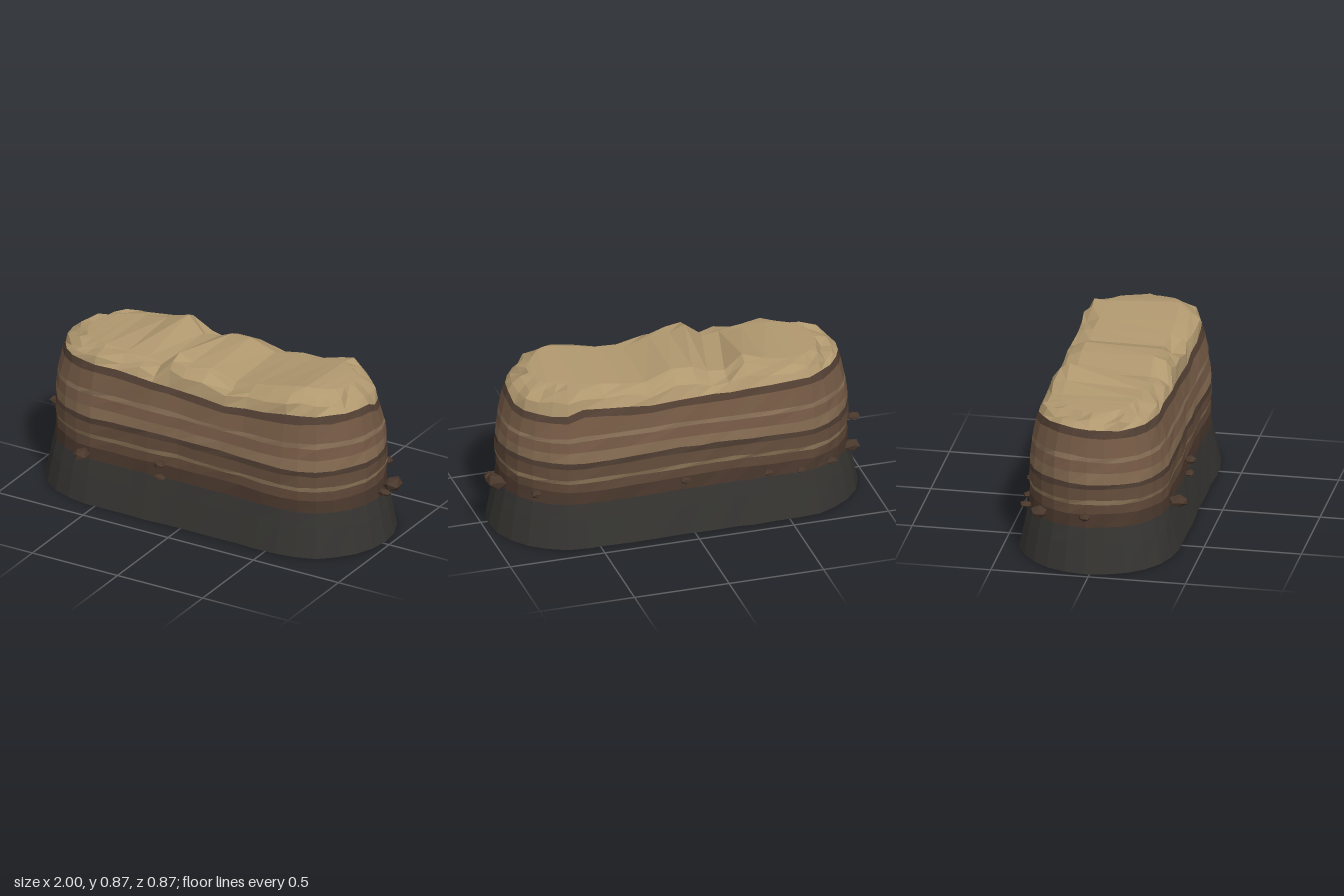
import * as THREE from 'three';

const CENTRE_Z = -0.025;
const hash = (a, b) => {
  const s = Math.sin(a * 127.1 + b * 311.7) * 43758.5453;
  return (s - Math.floor(s)) * 2 - 1;
};
const lerpTable = (table, x) => {
  if (x <= table[0][0]) return table[0][1];
  for (let i = 1; i < table.length; i++) {
    const [x0, y0] = table[i - 1], [x1, y1] = table[i];
    if (x <= x1) return y0 + (y1 - y0) * (x - x0) / (x1 - x0);
  }
  return table[table.length - 1][1];
};

// Stadium outline: the front half from the -x tip to the +x tip, then mirrored to the back
const ARC = 6;
const front = [];
for (let i = 0; i <= ARC; i++) front.push([-0.56, Math.PI * (1 - i / ARC / 2)]);
for (const x of [-0.43, -0.31, -0.22, -0.13, -0.05, 0.06, 0.2, 0.32, 0.44]) front.push([x, Math.PI / 2]);
for (let i = 0; i <= ARC; i++) front.push([0.56, Math.PI / 2 * (1 - i / ARC)]);
const back = front.slice(1, -1).reverse().map(([x, t]) => [x, -t]);
const outline = [...front, ...back];
const N = outline.length;

// One ring of points; height is a function of x and z, rough sets the share of sharp jitter
function ring(radius, height, jitterR, jitterY, seed, rough = 0.4) {
  return outline.map(([sx, t], i) => {
    const wave = Math.sin(i * 0.9) * 0.5 + Math.sin(i * 2.1 + 1) * 0.5;
    const r = radius + jitterR * (wave * (1 - rough) + hash(i, seed) * rough);
    const x = sx + r * Math.cos(t), z = r * Math.sin(t);
    const swell = Math.sin(i * 0.55 + seed * 0.35) * (1 - rough) + hash(i, seed + 40) * rough;
    return [x, height(x, z) + jitterY * swell, z + CENTRE_Z];
  });
}

function facetMesh(name, triangles, color) {
  const g = new THREE.BufferGeometry();
  g.setAttribute('position', new THREE.Float32BufferAttribute(triangles.flat(), 3));
  g.computeVertexNormals();
  const mesh = new THREE.Mesh(g, new THREE.MeshStandardMaterial({
    color, flatShading: true, side: THREE.DoubleSide }));
  mesh.name = name;
  return mesh;
}

function wall(rings) {
  const tris = [];
  for (let k = 0; k + 1 < rings.length; k++) {
    for (let i = 0; i < N; i++) {
      const j = (i + 1) % N, a = rings[k], b = rings[k + 1];
      tris.push(a[i], a[j], b[j], a[i], b[j], b[i]);
    }
  }
  return tris;
}

// Plateau heights along the front and back rims
const FRONT_RIM = [[-0.75, 0.8], [-0.56, 0.81], [-0.31, 0.8], [-0.22, 0.79], [-0.13, 0.868], [-0.05, 0.835],
  [0.06, 0.83], [0.2, 0.785], [0.44, 0.83], [0.62, 0.863], [0.76, 0.835]];
const BACK_RIM = [[-0.75, 0.8], [-0.56, 0.8], [-0.43, 0.825], [-0.31, 0.868], [-0.22, 0.79], [-0.13, 0.8],
  [-0.05, 0.835], [0.06, 0.84], [0.2, 0.79], [0.44, 0.815], [0.62, 0.84], [0.76, 0.825]];
const rimHeight = (x, z) => {
  const w = THREE.MathUtils.clamp(z / 0.19 * 0.5 + 0.5, 0, 1);
  return lerpTable(FRONT_RIM, x) * w + lerpTable(BACK_RIM, x) * (1 - w);
};

// Sag of the uppermost strata
const SAG = [[-0.9, 0.01], [-0.4, 0], [0.2, -0.03], [0.6, 0.012], [0.9, 0.012]];
const sag = (x, z) => lerpTable(SAG, x) - (x > 0.6 && z < -0.01 ? 0.035 : 0);

export function createModel() {
  const model = new THREE.Group();
  model.name = 'mesa';

  // Dark flared foot, open underneath
  let lower = ring(0.357, () => 0.232, 0.004, 0.004, 3);
  model.add(facetMesh('foot', wall([
    ring(0.406, () => 0, 0.006, 0, 1), ring(0.376, () => 0.15, 0.005, 0.006, 2), lower]), 0x353431));

  // Rock strata: top height, top radius, colour, share of the sag
  const strata = [
    [0.300, 0.352, 0x4a382d, 0], [0.350, 0.351, 0x5f4838, 0], [0.374, 0.357, 0x927a5c, 0],
    [0.436, 0.357, 0x654e3c, 0], [0.464, 0.353, 0x4c3b30, 0], [0.522, 0.350, 0x876d53, 0.1],
    [0.580, 0.342, 0x765a46, 0.2], [0.606, 0.340, 0x8b7259, 0.3], [0.696, 0.318, 0x735944, 0.9],
    [0.733, 0.305, 0x523f33, 1]];
  strata.forEach(([y, r, color, share], k) => {
    const upper = ring(r, (x, z) => y + share * sag(x, z), 0.008, 0.009, 4 + k * 0.6);
    model.add(facetMesh('stratum' + (k + 1), wall([lower, upper]), color));
    lower = upper;
  });

  // Jagged sandy cap with a faceted plateau
  const rim = ring(0.195, rimHeight, 0.008, 0.003, 33);
  const cap = wall([lower,
    ring(0.287, (x, z) => 0.4 * rimHeight(x, z) + 0.448, 0.016, 0.018, 31, 0.9),
    ring(0.242, (x, z) => rimHeight(x, z) - 0.018, 0.026, 0.02, 32, 0.9), rim]);
  for (let i = 0; i + 1 < front.length; i++) {
    const a = rim[i], b = rim[i + 1], c = rim[(N - i - 1) % N], d = rim[(N - i) % N];
    cap.push(a, b, c, a, c, d);
  }
  model.add(facetMesh('cap', cap, 0xb0986f));

  // Boulders stuck around the wall: x, y, z, half sizes
  const boulders = [
    [-0.962, 0.31, -0.025, 0.036, 0.019, 0.032], [-0.58, 0.275, 0.385, 0.042, 0.026, 0.05],
    [-0.135, 0.318, 0.36, 0.031, 0.018, 0.03], [-0.135, 0.245, 0.355, 0.034, 0.014, 0.026],
    [0.957, 0.285, -0.112, 0.048, 0.036, 0.062], [0.957, 0.272, -0.025, 0.034, 0.02, 0.03],
    [0.805, 0.29, -0.315, 0.026, 0.019, 0.028], [0.04, 0.292, -0.4, 0.03, 0.017, 0.022],
    [-0.395, 0.268, -0.405, 0.028, 0.015, 0.025], [-0.575, 0.248, -0.39, 0.024, 0.015, 0.022],
    [-0.74, 0.265, -0.37, 0.031, 0.018, 0.032], [-0.875, 0.285, -0.275, 0.043, 0.028, 0.046]];
  boulders.forEach(([x, y, z, sx, sy, sz], n) => {
    const g = new THREE.IcosahedronGeometry(1, 0);
    const p = g.attributes.position, v = new THREE.Vector3();
    for (let i = 0; i < p.count; i++) {
      v.fromBufferAttribute(p, i);
      v.multiplyScalar(1.05 + 0.15 * hash(Math.round(v.x * 9) + Math.round(v.y * 5), Math.round(v.z * 7) + n));
      p.setXYZ(i, v.x * sx, v.y * sy, v.z * sz);
    }
    g.computeVertexNormals();
    const rock = new THREE.Mesh(g, new THREE.MeshStandardMaterial({ color: 0x4a382c, flatShading: true }));
    rock.name = 'boulder' + (n + 1);
    rock.position.set(x, y, z);
    model.add(rock);
  });
  return model;
}
